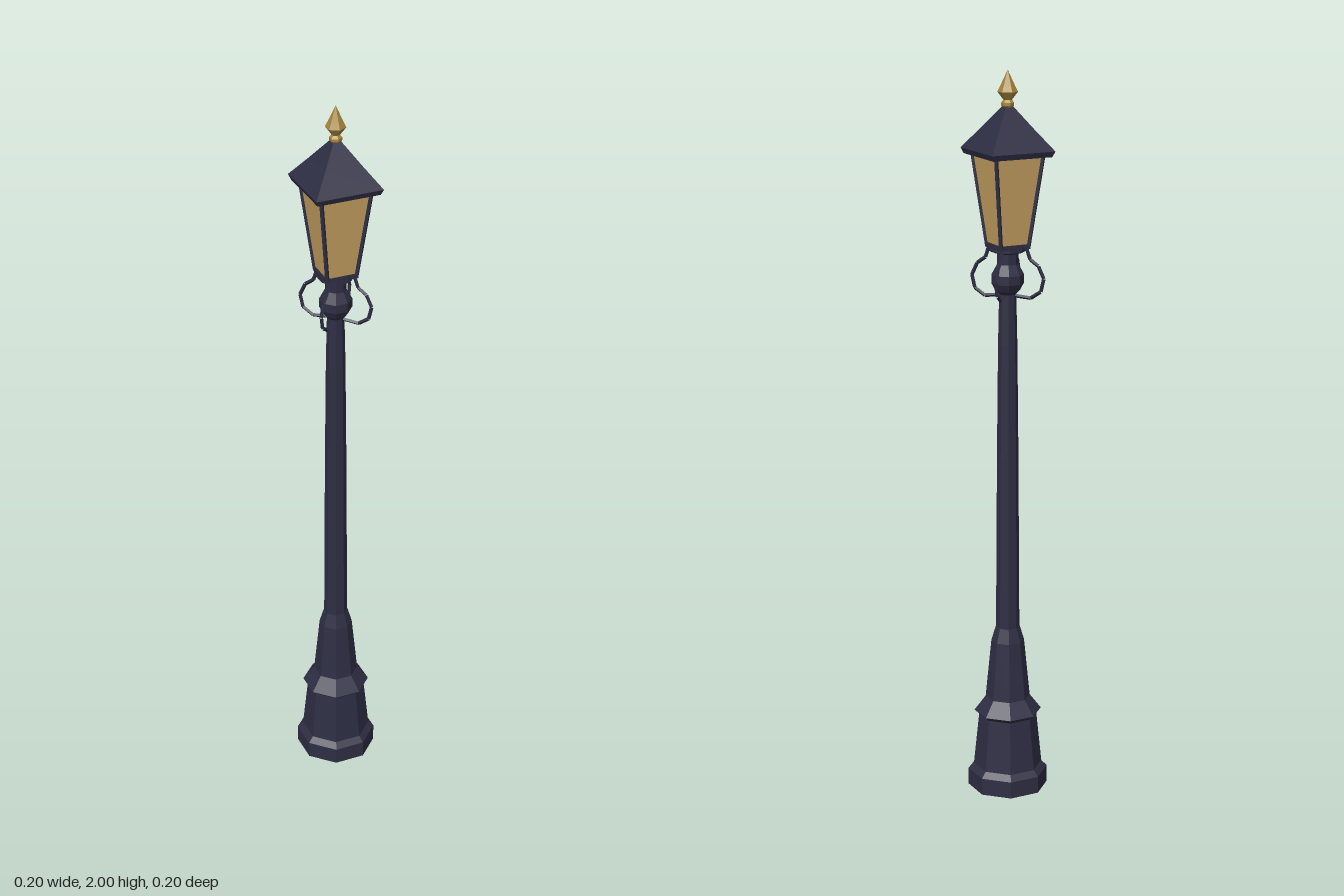
import * as THREE from 'three';

const iron = new THREE.MeshStandardMaterial({ name: 'dark iron', color: 0x2e2e44 });
const glass = new THREE.MeshStandardMaterial({ name: 'amber glass', color: 0xc8a262 });
const brass = new THREE.MeshStandardMaterial({ name: 'brass', color: 0xa8873c });

// Faceted mesh with one normal per face
function facetMesh(name, geometry, material) {
  const g = geometry.index ? geometry.toNonIndexed() : geometry;
  g.computeVertexNormals();
  const mesh = new THREE.Mesh(g, material);
  mesh.name = name;
  return mesh;
}

// Regular prism stack with flat sides facing the axes; profile is [half width, y]
function turned(name, sides, profile, material) {
  const k = 1 / Math.cos(Math.PI / sides);
  const points = profile.map(([r, y]) => new THREE.Vector2(r * k, y));
  return facetMesh(name, new THREE.LatheGeometry(points, sides, Math.PI / sides), material);
}

// Straight bar between two points
function bar(name, a, b, radius) {
  const path = new THREE.LineCurve3(a, b);
  return facetMesh(name, new THREE.TubeGeometry(path, 1, radius, 4), iron);
}

export function createModel() {
  const lamp = new THREE.Group();
  lamp.name = 'streetLamp';

  // Octagonal pedestal
  lamp.add(turned('pedestal', 8, [
    [0, 0], [0.102, 0], [0.102, 0.048], [0.088, 0.064], [0.074, 0.212],
    [0.086, 0.224], [0.057, 0.265], [0.042, 0.43], [0.031, 0.47], [0, 0.47],
  ], iron));

  // Tapered post
  lamp.add(turned('post', 8, [
    [0.03, 0.46], [0.027, 0.96], [0.024, 1.27], [0.021, 1.42],
  ], iron));

  // Ball joint and collar below the lantern
  lamp.add(turned('ballJoint', 8, [
    [0.018, 1.405], [0.03, 1.418], [0.04, 1.438], [0.04, 1.462], [0.03, 1.482],
    [0.026, 1.49], [0.026, 1.518], [0.046, 1.525], [0.046, 1.543], [0, 1.543],
  ], iron));

  // Four curved brackets on the diagonals; profile is [radial, y]
  const bracketPath = new THREE.CurvePath();
  const bend = [
    [0.052, 1.535], [0.062, 1.505], [0.085, 1.488], [0.1, 1.455],
    [0.092, 1.42], [0.064, 1.401], [0.022, 1.405],
  ].map(([r, y]) => new THREE.Vector3(r, y, 0));
  for (let i = 1; i < bend.length; i++) bracketPath.add(new THREE.LineCurve3(bend[i - 1], bend[i]));
  for (let i = 0; i < 4; i++) {
    const bracket = new THREE.Group();
    bracket.name = 'bracket' + (i + 1);
    bracketPath.curves.forEach((c) => bracket.add(bar('bracketSegment', c.v1, c.v2, 0.005)));
    bracket.rotation.y = Math.PI / 4 + i * Math.PI / 2;
    lamp.add(bracket);
  }

  // Lantern: tapered glass with iron corner bars and rims
  const low = 0.041, high = 0.069, yLow = 1.54, yHigh = 1.782;
  lamp.add(turned('glassPanes', 4, [[low, yLow], [high, yHigh]], glass));
  for (const x of [-1, 1]) for (const z of [-1, 1]) {
    lamp.add(bar('cornerBar', new THREE.Vector3(x * low, yLow, z * low),
      new THREE.Vector3(x * high, yHigh, z * high), 0.006));
  }
  lamp.add(turned('lowerRim', 4, [[0, 1.533], [0.045, 1.533], [0.045, 1.546], [0, 1.546]], iron));

  // Hipped roof with a thin eave
  lamp.add(turned('roof', 4, [
    [0, 1.778], [0.086, 1.778], [0.092, 1.793], [0.05, 1.85], [0.011, 1.905], [0, 1.905],
  ], iron));

  // Six-sided finial
  const finial = [
    [0.01, 1.898], [0.017, 1.908], [0.017, 1.915], [0.011, 1.922],
    [0.027, 1.943], [0.02, 1.957], [0, 2],
  ].map(([r, y]) => new THREE.Vector2(r, y));
  lamp.add(facetMesh('finial', new THREE.LatheGeometry(finial, 6), brass));

  return lamp;
}
